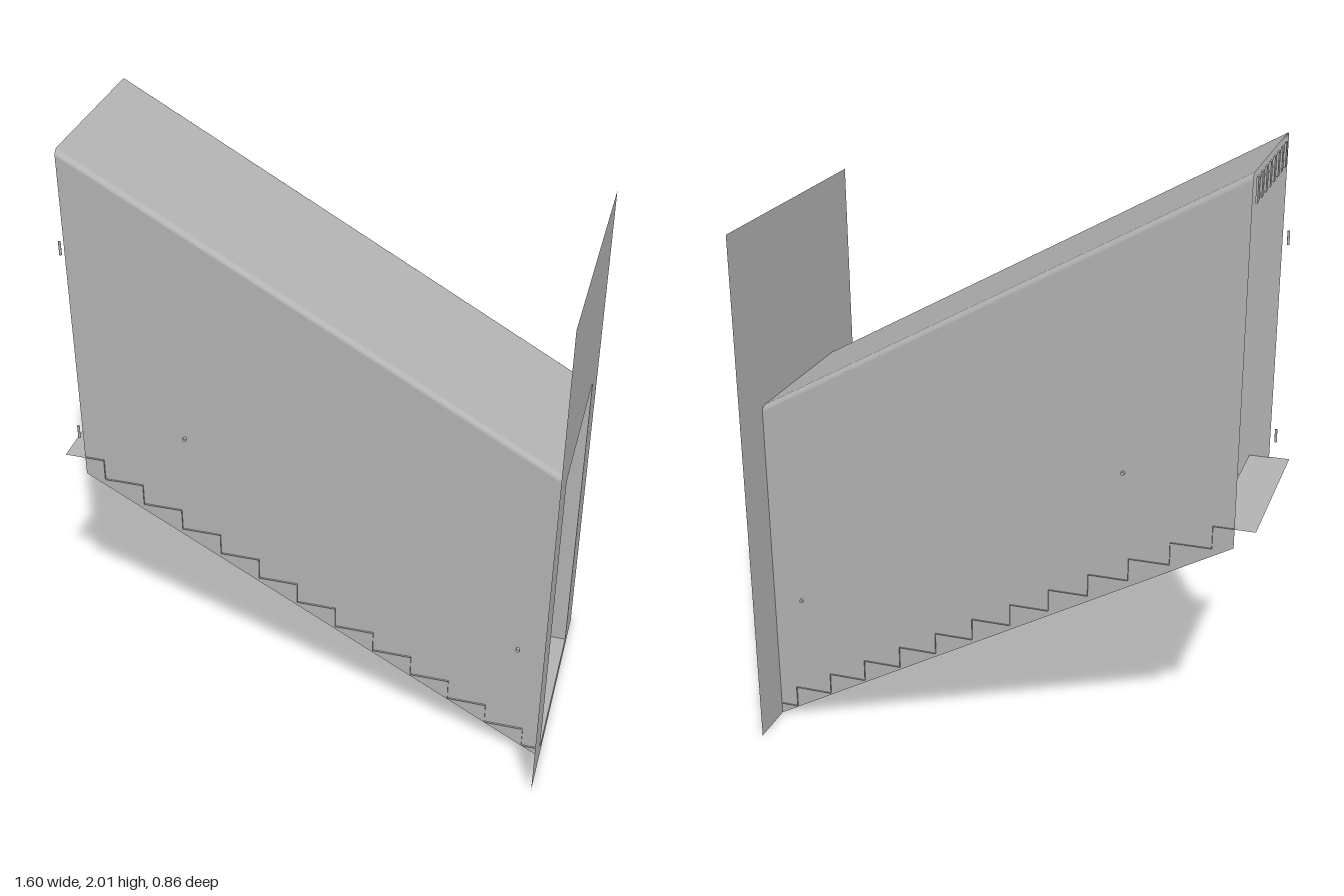
import * as THREE from 'three';

const FRONT = 0.8, BACK = -0.735, HALF = 0.279, HEIGHT = 1.135;
const SLOPE = 0.87 / (FRONT - BACK);

// Surface stretched between two matching rows of points
function ruled(rowA, rowB, smooth) {
  const n = rowA.length, index = [];
  for (let i = 0; i < n - 1; i++) index.push(i, i + 1, n + i, i + 1, n + i + 1, n + i);
  let g = new THREE.BufferGeometry();
  g.setAttribute('position', new THREE.Float32BufferAttribute([...rowA, ...rowB].flat(), 3));
  g.setIndex(index);
  if (!smooth) g = g.toNonIndexed();
  g.computeVertexNormals();
  return g;
}

export function createModel() {
  const group = new THREE.Group();
  const grey = new THREE.MeshStandardMaterial({ color: 0xb4b4b4, side: THREE.DoubleSide });
  grey.name = 'grey';

  function add(name, geometry, x = 0, y = 0, z = 0) {
    const mesh = new THREE.Mesh(geometry, grey);
    mesh.name = name;
    mesh.position.set(x, y, z);
    group.add(mesh);
    return mesh;
  }

  // Sloping tunnel: two walls and a roof with rounded edges, open below and at both ends
  const r = 0.02, section = [[HALF, 0]];
  for (const side of [1, -1]) {
    for (let i = 0; i <= 4; i++) {
      const a = (side > 0 ? i : 4 - i) * Math.PI / 8;
      section.push([side * (HALF - r + r * Math.cos(a)), HEIGHT - r + r * Math.sin(a)]);
    }
  }
  section.push([-HALF, 0]);
  const ring = x => section.map(([z, h]) => [x, h + SLOPE * (FRONT - x), z]);
  add('tunnelShell', ruled(ring(FRONT), ring(BACK), true));

  // Entrance panel with a doorway
  const panel = new THREE.Shape([
    new THREE.Vector2(-0.432, 0), new THREE.Vector2(0.432, 0),
    new THREE.Vector2(0.432, 1.74), new THREE.Vector2(-0.432, 1.74)]);
  const door = new THREE.Path();
  door.moveTo(-HALF, 0.04);
  door.lineTo(-HALF, HEIGHT - r);
  door.quadraticCurveTo(-HALF, HEIGHT, -HALF + r, HEIGHT);
  door.lineTo(HALF - r, HEIGHT);
  door.quadraticCurveTo(HALF, HEIGHT, HALF, HEIGHT - r);
  door.lineTo(HALF, 0.04);
  door.closePath();
  panel.holes.push(door);
  add('entrancePanel', new THREE.ShapeGeometry(panel, 4), FRONT).rotation.y = Math.PI / 2;

  // Folded staircase with landings at both ends
  const rise = 0.0746, run = 0.128, steps = 12;
  const fold = [[-0.8, 0.935]];
  for (let k = 0; k < steps; k++) {
    const x = -0.67 + run * k;
    fold.push([x, 0.935 - rise * k], [x, 0.935 - rise * (k + 1)]);
  }
  fold.push([FRONT, 0.04]);
  const edge = z => fold.map(([x, y]) => [x, y, z]);
  add('stairs', ruled(edge(0.285), edge(-0.285), false));

  // Handrails with pegs through the walls
  const low = [0.7, 0.455], high = [-0.39, 1.07];
  const dx = low[0] - high[0], dy = low[1] - high[1];
  for (const side of [1, -1]) {
    const rail = add('handrail', new THREE.BoxGeometry(Math.hypot(dx, dy) + 0.02, 0.028, 0.01),
      (low[0] + high[0]) / 2, (low[1] + high[1]) / 2, side * 0.269);
    rail.rotation.z = Math.atan2(dy, dx);
    for (const [x, y] of [low, high]) {
      const peg = new THREE.CylinderGeometry(0.006, 0.006, 0.02, 10).rotateX(Math.PI / 2);
      add('railPeg', peg, x, y, side * 0.28);
    }
  }

  // Row of vent slats above the rear opening
  for (let i = 0; i < 8; i++) {
    add('ventSlat', new THREE.BoxGeometry(0.006, 0.075, 0.025), BACK - 0.003, 1.948, -0.22 + i * 0.063);
  }

  // Rear hinges
  for (const y of [1.02, 1.68]) {
    add('hinge', new THREE.CylinderGeometry(0.004, 0.004, 0.045, 10), -0.755, y, 0.265);
  }
  return group;
}
